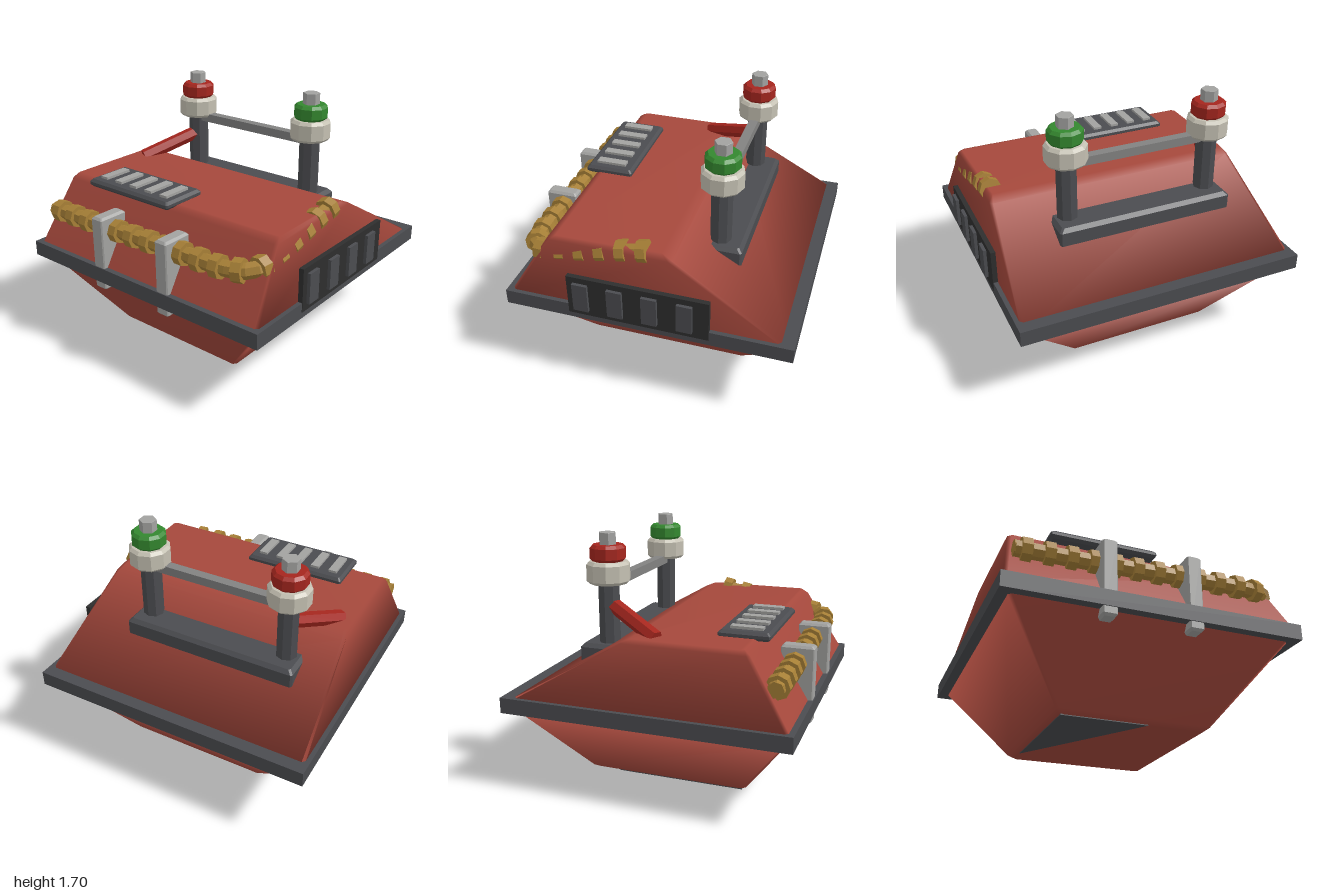
import * as THREE from 'three';

const mat = (name, color) => {
  const m = new THREE.MeshStandardMaterial({ color });
  m.name = name;
  return m;
};

// Stack of corner-cut rectangles [y, x0, x1, z0, z1], lowest first, closed at both ends.
function loft(rects, cut, flat) {
  const pos = [], idx = [], n = 8;
  for (const [y, x0, x1, z0, z1] of rects) {
    const loop = [
      [x1, z1 - cut], [x1, z0 + cut], [x1 - cut, z0], [x0 + cut, z0],
      [x0, z0 + cut], [x0, z1 - cut], [x0 + cut, z1], [x1 - cut, z1],
    ];
    for (const [x, z] of loop) pos.push(x, y, z);
  }
  const last = (rects.length - 1) * n;
  for (let r = 0; r < last; r += n) {
    for (let i = 0; i < n; i++) {
      const j = (i + 1) % n;
      idx.push(r + i, r + j, r + n + j, r + i, r + n + j, r + n + i);
    }
  }
  for (let i = 1; i < n - 1; i++) idx.push(0, i + 1, i, last, last + i, last + i + 1);
  let g = new THREE.BufferGeometry();
  g.setAttribute('position', new THREE.Float32BufferAttribute(pos, 3));
  g.setIndex(idx);
  if (flat) g = g.toNonIndexed();
  g.computeVertexNormals();
  return g;
}

// Box with chamfered edges between two corners.
function bevelBox(x0, x1, y0, y1, z0, z1, b) {
  const inner = [x0 + b, x1 - b, z0 + b, z1 - b], outer = [x0, x1, z0, z1];
  return loft([[y0, ...inner], [y0 + b, ...outer], [y1 - b, ...outer], [y1, ...inner]], b * 0.5, true);
}

function box(x0, x1, y0, y1, z0, z1) {
  return new THREE.BoxGeometry(x1 - x0, y1 - y0, z1 - z0)
    .translate((x0 + x1) / 2, (y0 + y1) / 2, (z0 + z1) / 2);
}

// Faceted upright drum with chamfered rims.
function drum(r, y0, y1, sides, b) {
  const pts = [[0, y0], [r - b, y0], [r, y0 + b], [r, y1 - b], [r - b, y1], [0, y1]];
  const g = new THREE.LatheGeometry(pts.map(p => new THREE.Vector2(...p)), sides).toNonIndexed();
  g.computeVertexNormals();
  return g;
}

// Straight faceted bar between two points.
function bar(a, b, r, sides) {
  const d = b.clone().sub(a);
  const g = new THREE.CylinderGeometry(r, r, d.length(), sides).toNonIndexed();
  g.applyQuaternion(new THREE.Quaternion().setFromUnitVectors(new THREE.Vector3(0, 1, 0), d.normalize()));
  g.translate((a.x + b.x) / 2, (a.y + b.y) / 2, (a.z + b.z) / 2);
  g.computeVertexNormals();
  return g;
}

export function createModel() {
  const root = new THREE.Group();
  root.name = 'powerUnit';
  const body = mat('brickRed', 0xa5483c);
  const frame = mat('charcoal', 0x4b4c50);
  const dark = mat('nearBlack', 0x2e2e2e);
  const metal = mat('lightSteel', 0xa2a2a0);
  const steel = mat('midSteel', 0x828281);
  const brass = mat('brass', 0xa67f36);
  const red = mat('signalRed', 0xa5261e);
  const green = mat('signalGreen', 0x34882f);
  const ceramic = mat('ceramic', 0xc4c0b2);
  const add = (name, geo, m, parent = root) => {
    const mesh = new THREE.Mesh(geo, m);
    mesh.name = name;
    parent.add(mesh);
    return mesh;
  };

  // Casing: tapered hull, rim and sloped lid
  add('lowerHull', loft([
    [0.006, -0.49, 0.465, -0.53, 0.53],
    [0.03, -0.525, 0.5, -0.565, 0.565],
    [0.56, -0.945, 0.92, -0.91, 0.91],
  ], 0.02, false), body);
  add('rim', box(-1, 0.975, 0.545, 0.65, -0.964, 0.964), frame);
  add('upperLid', loft([
    [0.62, -0.975, 0.95, -0.93, 0.945],
    [1.07, -0.905, 0.885, -0.16, 0.67],
    [1.1, -0.885, 0.865, -0.09, 0.63],
  ], 0.02, false), body);

  // Dark patch on the underside
  const patch = new THREE.Shape([[-0.49, 0.36], [-0.49, -0.53], [0.08, -0.53]].map(p => new THREE.Vector2(...p)));
  add('undersidePatch', new THREE.ExtrudeGeometry(patch, { depth: 0.008, bevelEnabled: false })
    .rotateX(-Math.PI / 2), frame);

  // Terminals on their shared plinth
  add('terminalPlinth', bevelBox(-0.705, 0.54, 0.8, 0.98, -0.52, -0.28, 0.025), frame);
  for (const [side, x, capMat] of [['right', -0.59, red], ['left', 0.428, green]]) {
    const t = new THREE.Group();
    t.name = side + 'Terminal';
    t.position.set(x, 0, -0.355);
    add('post', drum(0.072, 0.85, 1.4, 8, 0.001), frame, t);
    add('insulator', drum(0.142, 1.37, 1.515, 10, 0.02), ceramic, t);
    add('collar', drum(0.118, 1.512, 1.62, 10, 0.02), capMat, t);
    add('tip', drum(0.058, 1.6, 1.697, 6, 0.002), metal, t);
    root.add(t);
  }
  add('crossRail', box(-0.55, 0.39, 1.335, 1.395, -0.385, -0.32), steel);
  add('lever', bar(new THREE.Vector3(-0.59, 1.235, -0.34), new THREE.Vector3(-0.795, 1.09, 0.05), 0.05, 6), red);

  // Top grille
  add('topGrille', bevelBox(-0.645, 0.08, 1.085, 1.14, 0.395, 0.73, 0.018), frame);
  for (let i = 0; i < 5; i++) {
    const x = -0.557 + i * 0.137;
    add('topSlat', box(x - 0.03, x + 0.03, 1.12, 1.157, 0.46, 0.67), metal);
  }

  // Side grille
  add('sideGrille', box(0.945, 0.978, 0.585, 0.88, -0.43, 0.512), dark);
  for (const z of [0.417, 0.185, -0.045, -0.275]) {
    add('sideSlat', box(0.97, 1, 0.63, 0.838, z - 0.051, z + 0.051), frame);
  }

  // Ribbed hose along the front, bending back through the lid
  const path = new THREE.CatmullRomCurve3([
    [-0.9, 0.885, 0.83], [-0.4, 0.89, 0.835], [0.2, 0.905, 0.835], [0.68, 0.915, 0.83],
    [0.81, 0.93, 0.77], [0.83, 0.96, 0.55], [0.83, 1.03, 0.25], [0.83, 1.075, 0.03],
  ].map(p => new THREE.Vector3(...p)));
  const tube = new THREE.TubeGeometry(path, 40, 0.053, 7).toNonIndexed();
  tube.computeVertexNormals();
  const hose = new THREE.Group();
  hose.name = 'ribbedHose';
  root.add(hose);
  add('hoseCore', tube, brass, hose);
  const length = path.getLength();
  for (let s = 0.07; s < length; s += 0.142) {
    const p = path.getPointAt(s / length);
    const d = path.getTangentAt(s / length).multiplyScalar(0.032);
    add('hoseRib', bar(p.clone().sub(d), p.clone().add(d), 0.078, 8), brass, hose);
  }
  for (const u of [0, 1]) {
    const p = path.getPointAt(u), d = path.getTangentAt(u).multiplyScalar(0.005);
    add('hoseEnd', bar(p.clone().sub(d), p.clone().add(d), 0.053, 7), brass, hose);
  }

  // Clamps holding the hose
  for (const x of [-0.338, 0.228]) {
    add('hoseClamp', bevelBox(x - 0.048, x + 0.048, 0.487, 1.005, 0.74, 0.957, 0.015), metal);
  }
  return root;
}
